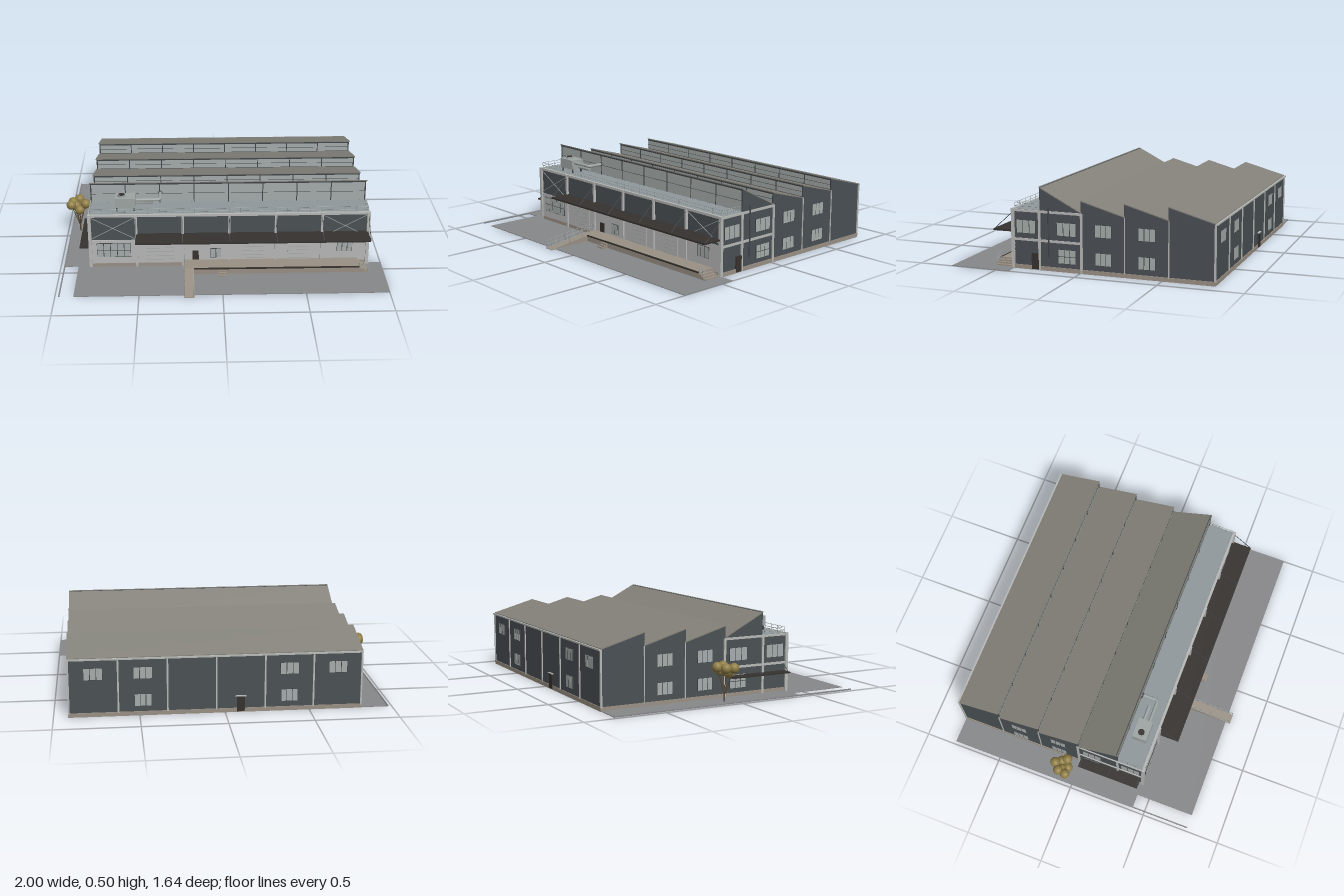
import * as THREE from 'three';

const C = { wall: 0x4a5054, light: 0xb6b8b6, plinth: 0x9a9084, roof: 0x84827a, terrace: 0x8f989c, asphalt: 0x87888a,
  dark: 0x35312e, frame: 0x43474a, glass: 0xa6adab, metal: 0x9ea5a3, leaf: 0x8f7d45, bark: 0x5a4a3a };
const mats = {};
const mat = (c) => (mats[c] ??= new THREE.MeshStandardMaterial({ color: C[c] }));

function add(parent, name, geo, color) {
  const m = new THREE.Mesh(geo, mat(color));
  m.name = name;
  parent.add(m);
  return m;
}
function box(parent, name, color, x0, x1, y0, y1, z0, z1) {
  const m = add(parent, name, new THREE.BoxGeometry(x1 - x0, y1 - y0, z1 - z0), color);
  m.position.set((x0 + x1) / 2, (y0 + y1) / 2, (z0 + z1) / 2);
  return m;
}
function rod(parent, name, color, a, b, r = 0.002, sides = 6) {
  const A = new THREE.Vector3(...a), B = new THREE.Vector3(...b), d = B.clone().sub(A);
  const m = add(parent, name, new THREE.CylinderGeometry(r, r, d.length(), sides), color);
  m.position.copy(A).add(B).multiplyScalar(0.5);
  m.quaternion.setFromUnitVectors(new THREE.Vector3(0, 1, 0), d.normalize());
  return m;
}
// profile given as [z, y] points, extruded from x0 to x1
function slab(parent, name, color, pts, x0, x1) {
  const s = new THREE.Shape(pts.map(([z, y]) => new THREE.Vector2(-z, y)));
  const g = new THREE.ExtrudeGeometry(s, { depth: x1 - x0, bevelEnabled: false });
  g.rotateY(Math.PI / 2).translate(x0, 0, 0);
  return add(parent, name, g, color);
}
function group(parent, name) {
  const g = new THREE.Group();
  g.name = name;
  parent.add(g);
  return g;
}
// framed window facing local +z, centred on its own origin
function makeWindow(parent, w, h, cols, rows, x, y, z, turn = 0) {
  const g = group(parent, 'window'), t = 0.004;
  box(g, 'windowFrame', 'frame', -w / 2, w / 2, -h / 2, h / 2, -0.004, 0.003);
  const cw = w / cols, ch = h / rows;
  for (let i = 0; i < cols; i++) for (let j = 0; j < rows; j++)
    box(g, 'windowPane', 'glass', -w / 2 + i * cw + t / 2, -w / 2 + (i + 1) * cw - t / 2,
      -h / 2 + j * ch + t / 2, -h / 2 + (j + 1) * ch - t / 2, 0, 0.004);
  g.position.set(x, y, z);
  g.rotation.y = turn;
}
function railing(parent, name, pts, h, count) {
  const g = group(parent, name);
  for (let k = 0; k + 1 < pts.length; k++) {
    const [a, b] = [pts[k], pts[k + 1]];
    for (const f of [0.5, 1])
      rod(g, 'rail', 'metal', [a[0], a[1] + h * f, a[2]], [b[0], b[1] + h * f, b[2]], 0.0014);
    const n = count[k];
    for (let i = 0; i <= n; i++) {
      const p = a.map((v, j) => v + (b[j] - v) * i / n);
      rod(g, 'railPost', 'metal', p, [p[0], p[1] + h, p[2]], 0.0018);
    }
  }
}

const X0 = -0.81, X1 = 0.91, ZF = 0.42, ZB = -0.81, TOP = 0.355;
const bays = [0, 1, 2, 3, 4, 5, 6].map((i) => X0 + (X1 - X0) * i / 6);
// each tooth: front z, ridge height, back z, eave height
const teeth = [[0.25, 0.495, -0.01, 0.355], [-0.01, 0.43, -0.275, 0.35], [-0.275, 0.43, -0.54, 0.35], [-0.54, 0.43, ZB, 0.35]];

export function createModel() {
  const root = new THREE.Group();
  root.name = 'factory';

  // Ground
  const ground = group(root, 'ground');
  box(ground, 'frontYard', 'asphalt', -0.89, 1, 0, 0.004, 0.42, 0.79);
  box(ground, 'sideYard', 'asphalt', -0.975, X0, 0, 0.004, ZB, 0.42);
  box(ground, 'kerb', 'asphalt', -0.98, -0.973, 0, 0.008, ZB, 0.79);

  // Main body with saw-tooth outline
  const outline = [[ZF, 0], [ZF, TOP], [0.25, TOP]];
  teeth.forEach(([z0, h, z1, e]) => outline.push([z0, h], [z1, e]));
  outline.push([ZB, 0]);
  slab(root, 'mainWalls', 'wall', outline.reverse(), X0, X1);
  box(root, 'plinth', 'plinth', X0 - 0.005, X1 + 0.005, 0, 0.025, ZB - 0.005, ZF + 0.006);
  box(root, 'lowerFrontWall', 'light', X0, X1, 0.025, 0.185, ZF - 0.01, ZF + 0.004);
  box(root, 'terraceRoof', 'terrace', X0, X1, TOP, TOP + 0.004, 0.25, ZF);

  // Sloping roofs and clerestory glazing
  teeth.forEach(([z0, h, z1, e], k) => {
    slab(root, 'roofSheet', 'roof', [[z0 + 0.006, h + 0.003], [z0 + 0.006, h - 0.003], [z1, e], [z1, e + 0.006]], X0 - 0.005, X1 + 0.005);
    const g = group(root, 'clerestory'), y0 = 0.36, y1 = h - 0.012;
    box(g, 'glazing', 'glass', X0 + 0.008, X1 - 0.008, y0, y1, z0 - 0.01, z0 + 0.002);
    box(g, 'topBar', 'frame', X0, X1, y1, h - 0.002, z0 - 0.005, z0 + 0.005);
    box(g, 'middleBar', 'frame', X0, X1, (y0 + y1) / 2 - 0.001, (y0 + y1) / 2 + 0.001, z0, z0 + 0.004);
    for (let i = 0; i <= 8; i++) {
      const x = X0 + 0.004 + (X1 - X0 - 0.008) * i / 8;
      box(g, 'mullion', 'frame', x - 0.003, x + 0.003, y0, y1, z0, z0 + 0.004);
    }
    if (k) for (const x of [X0, X1]) box(root, 'sideStrip', 'light', x - 0.005, x + 0.005, 0.02, 0.35, z0 - 0.003, z0 + 0.003);
  });

  // Columns and beams
  const structure = group(root, 'structure');
  bays.forEach((x, i) => {
    const w = i % 6 ? 0.007 : 0.01;
    box(structure, 'frontColumn', 'light', x - w, x + w, 0, TOP + 0.005, ZF - 0.005, ZF + 0.014);
    box(structure, 'backColumn', 'light', x - 0.005, x + 0.005, 0.02, 0.348, ZB - 0.006, ZB + 0.005);
  });
  box(structure, 'frontTopBeam', 'light', X0, X1, TOP - 0.01, TOP + 0.005, ZF - 0.005, ZF + 0.01);
  box(structure, 'backEave', 'light', X0 - 0.005, X1 + 0.005, 0.343, 0.352, ZB - 0.012, ZB);
  for (const x of [X0, X1]) {
    for (const z of [0.255, -0.01]) box(structure, 'sideColumn', 'light', x - 0.007, x + 0.007, 0, TOP, z - 0.007, z + 0.007);
    for (const y of [0.178, 0.35]) box(structure, 'sideBeam', 'light', x - 0.006, x + 0.006, y - 0.007, y + 0.007, -0.01, ZF);
  }
  // Cross bracing in the two end bays
  for (const i of [0, 5]) for (const f of [0, 1])
    rod(structure, 'crossBrace', 'metal', [bays[i], f ? 0.345 : 0.19, ZF + 0.006], [bays[i + 1], f ? 0.19 : 0.345, ZF + 0.006]);

  // Front openings
  makeWindow(root, 0.21, 0.095, 5, 2, -0.665, 0.118, ZF + 0.006);
  makeWindow(root, 0.065, 0.062, 2, 1, -0.033, 0.09, ZF + 0.006);
  makeWindow(root, 0.095, 0.068, 3, 1, 0.768, 0.125, ZF + 0.006);
  for (const [a, b] of [[-0.465, -0.295], [0.13, 0.265], [0.415, 0.55]]) {
    const g = group(root, 'rollerDoor');
    box(g, 'doorLeaf', 'light', a, b, 0.03, 0.165, ZF, ZF + 0.008);
    for (let j = 0; j < 5; j++) box(g, 'doorGroove', 'metal', a, b, 0.05 + j * 0.026, 0.053 + j * 0.026, ZF, ZF + 0.0095);
  }
  box(root, 'frontDoor', 'dark', -0.18, -0.14, 0.045, 0.105, ZF, ZF + 0.01);

  // Side openings, the same on both sides
  for (const s of [1, -1]) {
    const x = s > 0 ? X1 + 0.002 : X0 - 0.002, turn = s * Math.PI / 2;
    for (const z of [0.34, 0.083]) makeWindow(root, 0.122, 0.08, 3, 1, x, 0.255, z, turn);
    makeWindow(root, 0.11, 0.085, 3, 2, x, 0.093, 0.08, turn);
    for (const z of [-0.145, -0.41]) for (const y of [0.26, 0.095]) makeWindow(root, 0.1, 0.075, 3, 1, x, y, z, turn);
  }
  box(root, 'sideDoor', 'dark', X1 - 0.01, X1 + 0.008, 0.005, 0.1, 0.26, 0.305);
  rod(root, 'downpipe', 'frame', [X1 + 0.006, 0.075, 0.195], [X1 + 0.006, 0.39, 0.195], 0.004, 8);

  // Back openings
  for (const i of [0, 1, 4, 5]) {
    const x = (bays[i] + bays[i + 1]) / 2;
    makeWindow(root, 0.11, 0.072, 3, 1, x, 0.26, ZB - 0.002, Math.PI);
    if (i % 5) makeWindow(root, 0.1, 0.075, 3, 1, x, 0.095, ZB - 0.002, Math.PI);
  }
  box(root, 'backDoor', 'dark', -0.115, -0.07, 0.005, 0.095, ZB - 0.008, ZB + 0.01);
  box(root, 'backDoorHood', 'light', -0.125, -0.06, 0.097, 0.102, ZB - 0.012, ZB);

  // Canopies with tie rods
  box(root, 'frontCanopy', 'dark', -0.525, X1, 0.218, 0.228, ZF, 0.555);
  bays.slice(1).forEach((x) => rod(root, 'canopyTie', 'frame', [x, 0.335, ZF + 0.01], [x, 0.228, 0.548]));
  box(root, 'sideCanopy', 'dark', -0.88, X0, 0.122, 0.13, 0.01, 0.41);
  for (const z of [0.02, 0.21, 0.4]) rod(root, 'canopyTie', 'frame', [X0, 0.178, z], [-0.875, 0.13, z]);

  // Loading dock, ramp and steps
  const dock = group(root, 'loadingDock');
  box(dock, 'dockPlatform', 'plinth', -0.235, 0.85, 0, 0.042, ZF, 0.54);
  box(dock, 'dockEdge', 'dark', -0.17, 0.85, 0.036, 0.044, 0.535, 0.543);
  slab(dock, 'ramp', 'plinth', [[0.82, 0], [0.54, 0], [0.54, 0.042], [0.82, 0.003]], -0.232, -0.17);
  for (const x of [-0.229, -0.173]) railing(dock, 'rampRailing', [[x, 0.003, 0.815], [x, 0.042, 0.54]], 0.045, [8]);
  railing(dock, 'dockRailing', [[-0.229, 0.042, 0.54], [-0.229, 0.042, 0.44]], 0.045, [3]);
  for (let i = 0; i < 3; i++) {
    const h = 0.032 - i * 0.01;
    box(dock, 'frontStep', 'plinth', -0.02, 0.03, 0, h, 0.54 + i * 0.013, 0.553 + i * 0.013);
    box(dock, 'endStep', 'plinth', 0.85 + i * 0.018, 0.868 + i * 0.018, 0, h, 0.435, 0.54);
  }
  railing(dock, 'endRailing', [[0.85, 0.042, 0.537], [0.905, 0.006, 0.537]], 0.042, [2]);

  // Terrace railing
  railing(root, 'terraceRailing', [[X0 + 0.005, TOP, 0.27], [X0 + 0.005, TOP, 0.415], [X1 - 0.005, TOP, 0.415], [X1 - 0.005, TOP, 0.27]], 0.038, [3, 24, 3]);

  // Rooftop ventilation unit and ducts
  const vent = group(root, 'ventilationUnit');
  box(vent, 'unitCasing', 'metal', -0.65, -0.525, 0.385, 0.445, 0.29, 0.38);
  for (const x of [-0.64, -0.535]) for (const z of [0.3, 0.37]) box(vent, 'unitLeg', 'frame', x - 0.004, x + 0.004, TOP, 0.385, z - 0.004, z + 0.004);
  rod(vent, 'fanRing', 'metal', [-0.61, 0.445, 0.335], [-0.61, 0.455, 0.335], 0.025, 20);
  rod(vent, 'fan', 'dark', [-0.61, 0.455, 0.335], [-0.61, 0.457, 0.335], 0.02, 20);
  rod(vent, 'shortDuct', 'metal', [-0.53, 0.395, 0.318], [-0.42, 0.395, 0.318], 0.011, 12);
  const path = new THREE.CurvePath();
  const v = (x, z) => new THREE.Vector3(x, 0.428, z);
  path.add(new THREE.LineCurve3(v(-0.53, 0.357), v(-0.395, 0.357)));
  path.add(new THREE.QuadraticBezierCurve3(v(-0.395, 0.357), v(-0.375, 0.357), v(-0.375, 0.337)));
  path.add(new THREE.LineCurve3(v(-0.375, 0.337), v(-0.375, 0.25)));
  add(vent, 'longDuct', new THREE.TubeGeometry(path, 40, 0.01, 12), 'metal');
  rod(vent, 'ductFlange', 'frame', [-0.375, 0.428, 0.255], [-0.375, 0.428, 0.262], 0.013, 12);

  // Tree
  const tree = group(root, 'tree');
  rod(tree, 'trunk', 'bark', [-0.918, 0, -0.075], [-0.918, 0.05, -0.075], 0.005, 8);
  const crown = [[-0.96, 0.205, -0.09], [-0.92, 0.21, -0.125], [-0.875, 0.205, -0.06], [-0.968, 0.205, -0.042], [-0.915, 0.17, -0.042], [-0.94, 0.185, -0.075], [-0.892, 0.185, -0.09]];
  crown.forEach((p) => {
    add(tree, 'foliage', new THREE.SphereGeometry(0.031, 16, 12), 'leaf').position.set(...p);
    rod(tree, 'branch', 'bark', [-0.918, 0.04, -0.075], p, 0.0025);
  });
  return root;
}
